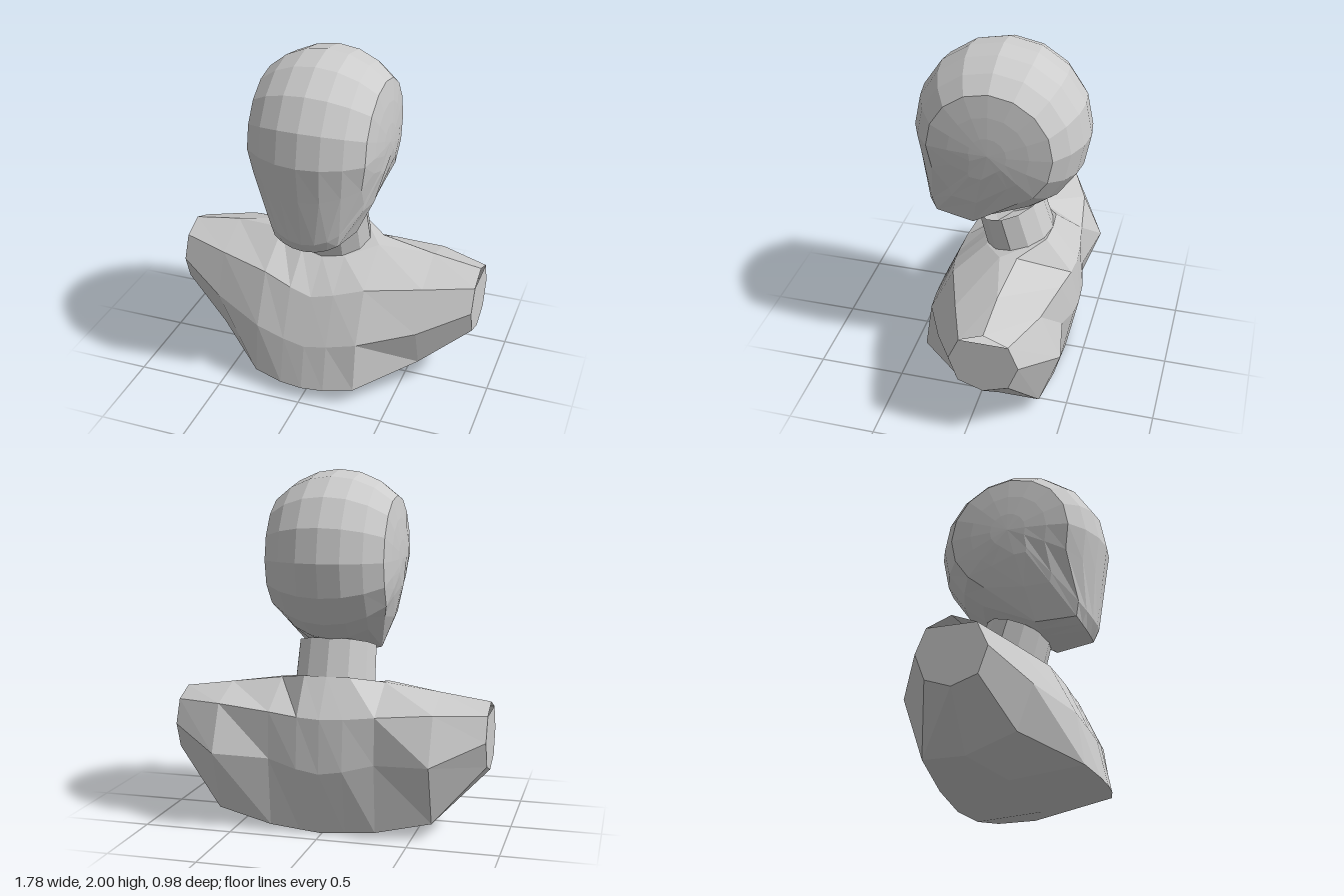
import * as THREE from 'three';

const V = (x, y, z) => new THREE.Vector3(x, y, z);

// Faceted geometry from a list of corner points, three per triangle
function facets(tris) {
  const geo = new THREE.BufferGeometry().setFromPoints(tris);
  geo.computeVertexNormals();
  return geo;
}

// Skin closed rings of points, leaving out collapsed triangles
function loft(rings) {
  const tris = [];
  const add = (a, b, c) => {
    const n = b.clone().sub(a).cross(c.clone().sub(a));
    if (n.length() > 1e-8) tris.push(a, b, c);
  };
  for (let r = 0; r < rings.length - 1; r++) {
    const A = rings[r], B = rings[r + 1], n = A.length;
    for (let i = 0; i < n; i++) {
      const j = (i + 1) % n;
      add(A[i], A[j], B[j]);
      add(A[i], B[j], B[i]);
    }
  }
  return tris;
}

// Mirror rings given from the middle (x = 0) outwards to +x
function mirrored(rings) {
  const left = rings.slice(1).reverse().map(r => r.map(p => V(-p.x, p.y, p.z)));
  return [...left, ...rings];
}

// Head: middle profile [z, y, width factor, how strongly it shrinks sideways]
function headGeometry() {
  const R = 0.49, CY = 1.51, SIDE = 0.365;
  const profile = [];
  for (let i = -4; i <= 4; i++) {
    const a = i * Math.PI / 8;
    profile.push([R * Math.sin(a), CY + R * Math.cos(a), 1, 1]);
  }
  profile.push(
    [0.46, 1.30, 0.93, 1], [0.42, 1.02, 0.6, 0.45], [0.38, 0.955, 0.55, 0.3],
    [0.13, 0.95, 0.66, 0.2], [-0.22, 1.07, 0.9, 1], [-0.345, 1.165, 0.98, 1],
    [-0.453, 1.322, 1, 1]);
  const band = deg => profile.map(([z, y, w, k]) => {
    const a = deg * Math.PI / 180;
    const s = 1 - (1 - Math.cos(a)) * k;
    return V(0.47 * Math.sin(a) * w, CY + (y - CY) * s, z * s);
  });
  const rings = [0, 15, 30, 45].map(band);
  // Gently domed sides
  const rim = rings[3];
  for (const t of [0.35, 0.7, 1]) {
    const bulge = 1 - (1 - t) ** 2;
    rings.push(rim.map(p => V(p.x + (SIDE - p.x) * bulge, p.y + (CY - p.y) * t, p.z * (1 - t))));
  }
  return facets(loft(mirrored(rings)));
}

// Neck: leaning twelve-sided tube
function neckGeometry() {
  const ring = (rx, rz, cy, cz, tilt) => Array.from({ length: 12 }, (_, i) => {
    const a = i * Math.PI / 6;
    return V(rx * Math.sin(a), cy - tilt * Math.cos(a), cz + rz * Math.cos(a));
  });
  return facets(loft([
    ring(0.23, 0.185, 0.78, -0.11, 0.055),
    ring(0.232, 0.19, 0.815, -0.1, 0.055),
    ring(0.225, 0.18, 1.02, -0.04, 0.06)]));
}

// Torso sections [x, then z, y pairs]: back neck, front neck, upper chest,
// chest, lower chest, underside, lower back, back, upper back
const sections = [
  [0, -0.29, 0.87, 0.09, 0.76, 0.28, 0.595, 0.40, 0.33, 0.455, 0.075, 0, 0.045, -0.39, 0.005, -0.46, 0.36, -0.44, 0.66],
  [0.13, -0.28, 0.87, 0.07, 0.775, 0.265, 0.625, 0.39, 0.35, 0.445, 0.08, 0, 0.045, -0.385, 0.015, -0.455, 0.38, -0.43, 0.665],
  [0.30, -0.15, 0.83, -0.05, 0.82, 0.225, 0.67, 0.365, 0.385, 0.405, 0.10, 0, 0.055, -0.38, 0.03, -0.42, 0.42, -0.405, 0.68],
  [0.61, -0.12, 0.785, -0.12, 0.785, 0.12, 0.68, 0.225, 0.445, 0.14, 0.20, -0.13, 0.10, -0.36, 0.10, -0.475, 0.44, -0.36, 0.70],
  [0.89, -0.115, 0.745, -0.115, 0.745, 0.02, 0.69, 0.08, 0.555, 0.03, 0.41, -0.11, 0.36, -0.25, 0.41, -0.305, 0.555, -0.25, 0.69],
];
const torsoRings = sections.map(([x, ...zy]) => {
  const ring = [];
  for (let i = 0; i < zy.length; i += 2) ring.push(V(x, zy[i + 1], zy[i]));
  return ring;
});

// Flat arm end, open in a small notch at the top
function armEndGeometry(side) {
  const p = torsoRings[4].slice(2).map(v => V(v.x * side, v.y, v.z));
  const tris = [];
  for (let i = 1; i < p.length - 1; i++) {
    tris.push(p[0], ...(side > 0 ? [p[i], p[i + 1]] : [p[i + 1], p[i]]));
  }
  return facets(tris);
}

export function createModel() {
  const grey = new THREE.MeshStandardMaterial({ color: 0xcccccc, side: THREE.DoubleSide });
  grey.name = 'light grey';
  const model = new THREE.Group();
  model.name = 'bust';
  const part = (name, geo) => {
    const mesh = new THREE.Mesh(geo, grey);
    mesh.name = name;
    model.add(mesh);
  };
  part('head', headGeometry());
  part('neck', neckGeometry());
  part('torso', facets(loft(mirrored(torsoRings))));
  part('leftArmEnd', armEndGeometry(1));
  part('rightArmEnd', armEndGeometry(-1));
  return model;
}
